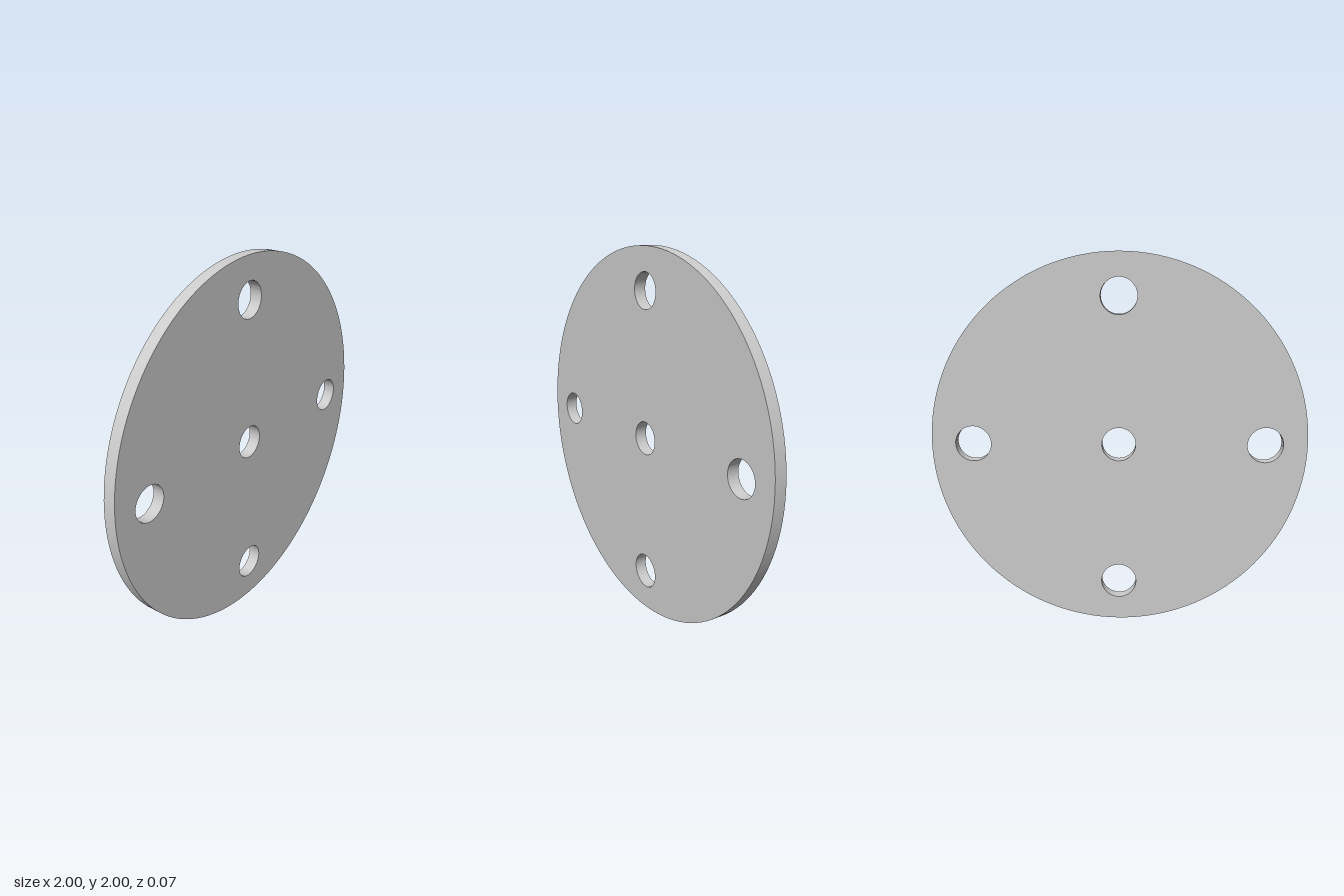
import * as THREE from 'three';
import { toCreasedNormals } from 'three/addons/utils/BufferGeometryUtils.js';

const RADIUS = 1;
const THICKNESS = 0.066;
const BOLT_CIRCLE = 0.778;
const BOLT_HOLE_RADIUS = 0.095;
const CENTRE_HOLE_RADIUS = 0.09;

export function createModel() {
  const group = new THREE.Group();
  group.name = 'drilledDisc';

  // Round outline
  const outline = new THREE.Shape();
  outline.absarc(0, 0, RADIUS, 0, Math.PI * 2, false);

  const drill = (x, y, radius) => {
    const hole = new THREE.Path();
    hole.absarc(x, y, radius, 0, Math.PI * 2, true);
    outline.holes.push(hole);
  };

  // Centre hole and four evenly spaced bolt holes
  drill(0, 0, CENTRE_HOLE_RADIUS);
  for (let i = 0; i < 4; i++) {
    const angle = (i * Math.PI) / 2;
    drill(BOLT_CIRCLE * Math.cos(angle), BOLT_CIRCLE * Math.sin(angle), BOLT_HOLE_RADIUS);
  }

  // Flat plate with smooth rims and sharp edges
  const geometry = new THREE.ExtrudeGeometry(outline, {
    depth: THICKNESS,
    bevelEnabled: false,
    curveSegments: 64,
  });
  geometry.translate(0, RADIUS, -THICKNESS / 2);

  const disc = new THREE.Mesh(
    toCreasedNormals(geometry, 0.6),
    new THREE.MeshStandardMaterial({ color: 0xcccccc }),
  );
  disc.name = 'discPlate';
  group.add(disc);

  return group;
}
